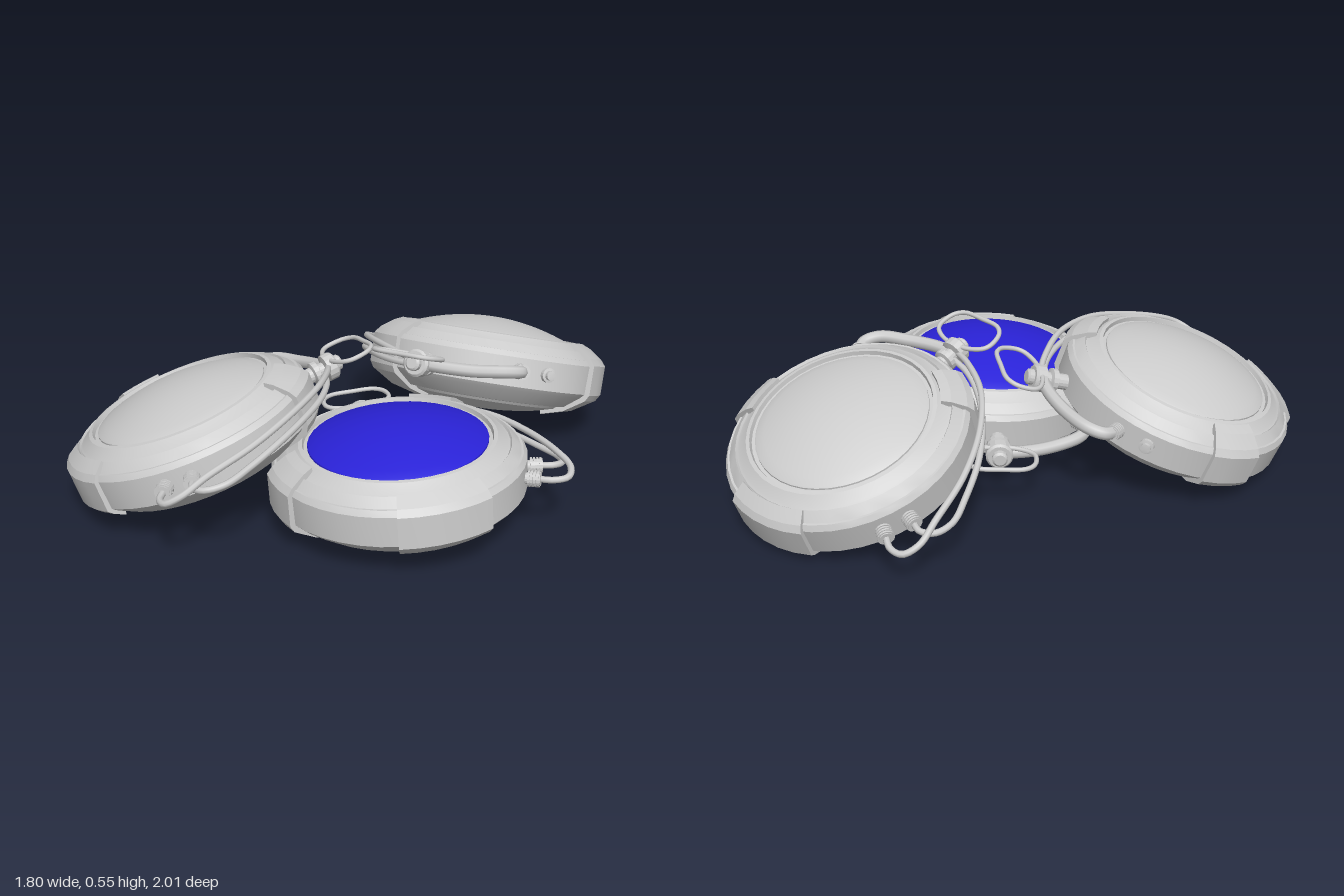
import * as THREE from 'three';
import { toCreasedNormals } from 'three/addons/utils/BufferGeometryUtils.js';

const grey = new THREE.MeshStandardMaterial({ color: 0xcccccc });
const greyThin = new THREE.MeshStandardMaterial({ color: 0xcccccc, side: THREE.DoubleSide });
const blue = new THREE.MeshStandardMaterial({ color: 0x2a22d8 });

const rad = THREE.MathUtils.degToRad;
const vecs = (list) => list.map(([x, y]) => new THREE.Vector2(x, y));
// Point at plan angle a (degrees from +x towards +z), radius r, height y
const polar = (a, r, y) => new THREE.Vector3(r * Math.cos(rad(a)), y, r * Math.sin(rad(a)));

function add(parent, name, geometry, material = grey) {
  const mesh = new THREE.Mesh(geometry, material);
  mesh.name = name;
  parent.add(mesh);
  return mesh;
}

const lathe = (points, segments = 40) => toCreasedNormals(new THREE.LatheGeometry(vecs(points), segments), 0.33);

function tube(parent, name, points, radius, closed = false) {
  const curve = new THREE.CatmullRomCurve3(points, closed, 'centripetal');
  return add(parent, name, new THREE.TubeGeometry(curve, points.length * 7, radius, 8, closed));
}

// Shallow spherical cap, as lathe points running from rim to centre
function cap(radius, rimY, rise, steps = 10) {
  return Array.from({ length: steps + 1 }, (_, i) => {
    const t = 1 - i / steps;
    return [Math.max(radius * t, 0.0001), rimY + rise * (1 - t * t)];
  });
}

// Raised armour segment wrapped round the rim between two plan angles
function plate(parent, from, to, profile) {
  const g = new THREE.Group();
  g.name = 'rimPlate';
  parent.add(g);
  const arc = new THREE.LatheGeometry(vecs([...profile, profile[0]]), Math.ceil((to - from) / 9), rad(90 - to), rad(to - from));
  add(g, 'plateShell', toCreasedNormals(arc, 0.2));
  for (const a of [from, to]) {
    add(g, 'plateEnd', new THREE.ShapeGeometry(new THREE.Shape(vecs(profile))), greyThin).rotation.y = -rad(a);
  }
}

// Stack of turned steps pointing outward: profile is [radius, distance along axis]
function fitting(parent, name, a, r, y, profile) {
  const mesh = add(parent, name, lathe(profile, 16));
  mesh.position.copy(polar(a, r, y));
  mesh.quaternion.setFromUnitVectors(new THREE.Vector3(0, 1, 0), polar(a, 1, 0));
  return mesh;
}

function pod(name, domeMaterial) {
  const g = new THREE.Group();
  g.name = name;

  // Lens-shaped casing with stepped bevels
  const bottom = cap(0.33, -0.135, -0.05).reverse();
  add(g, 'casing', lathe([
    ...bottom, [0.34, -0.125], [0.37, -0.122], [0.435, -0.075], [0.45, -0.06],
    [0.453, 0.05], [0.44, 0.07], [0.432, 0.07], [0.4, 0.1], [0.395, 0.093], [0.385, 0.098],
    [0.352, 0.125], [0.338, 0.128], [0.334, 0.112], [0.31, 0.112],
  ]));
  add(g, 'dome', lathe([[0.322, 0.1], [0.32, 0.118], ...cap(0.314, 0.122, 0.063)]), domeMaterial);

  // Rim plates
  const wide = [[0.4, -0.08], [0.405, -0.112], [0.45, -0.08], [0.468, -0.06], [0.468, 0.055], [0.45, 0.078], [0.405, 0.108], [0.395, 0.08]];
  const deep = [[0.27, -0.13], [0.275, -0.165], [0.37, -0.138], [0.455, -0.085], [0.47, -0.06], [0.47, 0.055], [0.45, 0.08],
    [0.4, 0.115], [0.365, 0.13], [0.36, 0.1]];
  plate(g, 40, 82, wide);
  plate(g, 134, 159, deep);
  plate(g, 268, 294, deep);

  // Ribbed sockets and single plug on the rim
  const ribbed = [[0.0001, 0], [0.02, 0], [0.02, 0.025]];
  for (let i = 0; i < 4; i++) {
    const h = 0.025 + i * 0.011;
    ribbed.push([0.03, h], [0.03, h + 0.007], [0.025, h + 0.007], [0.025, h + 0.011]);
  }
  ribbed.push([0.014, 0.069], [0.0001, 0.069]);
  for (const a of [-6, 6]) fitting(g, 'socket', a, 0.435, 0.0, ribbed);
  fitting(g, 'hoseSocket', 204, 0.435, 0.0, ribbed);
  fitting(g, 'plug', 189, 0.44, 0.0,
    [[0.0001, 0], [0.028, 0], [0.028, 0.025], [0.018, 0.027], [0.018, 0.04], [0.0001, 0.042]]);

  // Swivel clamp
  const clampAngle = 246;
  fitting(g, 'clamp', clampAngle, 0.44, -0.025, [
    [0.0001, 0], [0.03, 0], [0.03, 0.05], [0.045, 0.055], [0.045, 0.075], [0.028, 0.08], [0.028, 0.1],
    [0.052, 0.105], [0.052, 0.14], [0.044, 0.148], [0.03, 0.148], [0.03, 0.165], [0.022, 0.172], [0.0001, 0.172],
  ]);
  // Wire pull loop hanging outward from the clamp
  const loop = new THREE.Group();
  loop.name = 'pullLoop';
  loop.rotation.y = -rad(clampAngle);
  g.add(loop);
  const loopPoints = [[0.57, -0.05], [0.6, -0.115], [0.63, -0.13], [0.69, -0.12], [0.72, -0.085], [0.725, 0],
    [0.72, 0.085], [0.69, 0.12], [0.63, 0.13], [0.6, 0.115], [0.57, 0.05]];
  tube(loop, 'loopWire', loopPoints.map(([r, s]) => new THREE.Vector3(r, 0.005, s)), 0.009, true);

  // Thick hose from its socket to the clamp
  tube(g, 'hose', [polar(204, 0.48, 0), polar(206, 0.53, 0), polar(212, 0.555, -0.005), polar(224, 0.55, -0.02),
    polar(236, 0.55, -0.025), polar(246, 0.55, -0.025)], 0.024);

  // Two thin cables looping out of the sockets and round the rim to the clamp
  tube(g, 'cable', [polar(6, 0.49, 0), polar(6, 0.55, 0), polar(3, 0.595, 0), polar(-3, 0.6, 0.01), polar(-12, 0.56, 0.025),
    polar(-32, 0.51, 0.03), polar(-55, 0.49, 0.035), polar(-80, 0.5, 0.025), polar(-102, 0.53, 0), polar(-114, 0.56, -0.02)], 0.012);
  tube(g, 'cable', [polar(-6, 0.49, 0), polar(-6, 0.54, 0), polar(-10, 0.575, -0.01), polar(-17, 0.575, -0.02), polar(-28, 0.535, -0.02),
    polar(-45, 0.5, -0.015), polar(-65, 0.48, -0.02), polar(-85, 0.49, -0.03), polar(-102, 0.515, -0.035), polar(-114, 0.53, -0.03)], 0.012);
  return g;
}

export function createModel() {
  const model = new THREE.Group();
  model.name = 'podCluster';
  // Three identical pods: position, upward normal and turn about their own axis
  const layout = [
    ['frontPod', blue, [0.31, 0.187, 0.31], [-0.07, 1, 0], -13],
    ['rightPod', grey, [-0.445, 0.262, 0.445], [-0.33, 0.94, 0.09], 66],
    ['backPod', grey, [0.345, 0.262, -0.545], [0, 0.92, -0.38], 214],
  ];
  for (const [name, material, position, normal, turn] of layout) {
    const p = pod(name, material);
    p.position.set(...position);
    p.quaternion.setFromUnitVectors(new THREE.Vector3(0, 1, 0), new THREE.Vector3(...normal).normalize());
    p.rotateY(-rad(turn));
    model.add(p);
  }
  return model;
}
